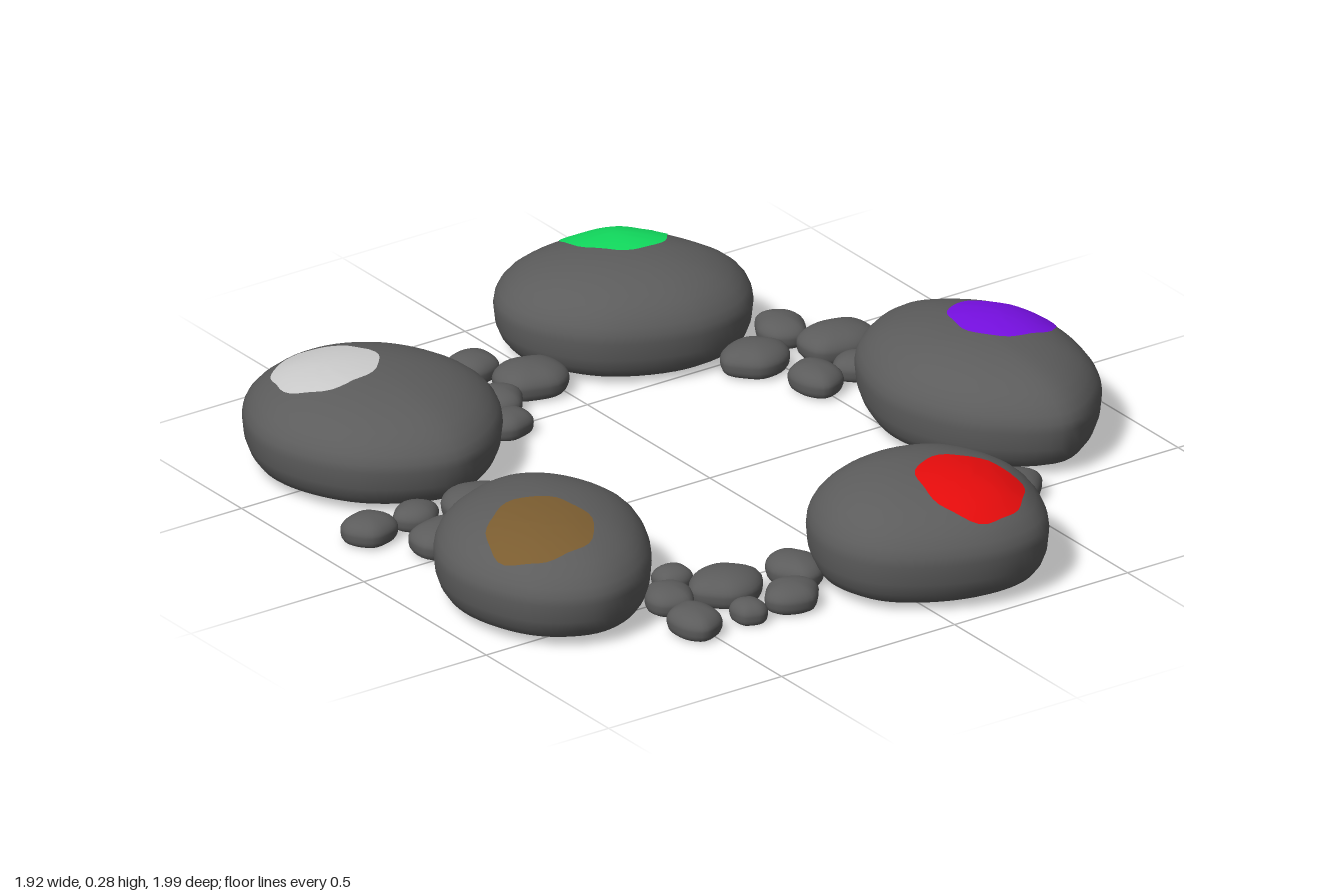
import * as THREE from 'three';

const STONE = new THREE.MeshStandardMaterial({ color: 0x5c5c5c, side: THREE.DoubleSide });

// Grid of rings (each a closed loop of n points) around one top point
function ringSurface(top, rings) {
  const n = rings[0].length;
  const pos = [...top, ...rings.flat(2)];
  const idx = [];
  for (let j = 0; j < n; j++) {
    const k = (j + 1) % n;
    idx.push(0, 1 + k, 1 + j);
    for (let i = 0; i < rings.length - 1; i++) {
      const a = 1 + i * n, b = a + n;
      idx.push(a + j, a + k, b + j, a + k, b + k, b + j);
    }
  }
  const g = new THREE.BufferGeometry();
  g.setAttribute('position', new THREE.Float32BufferAttribute(pos, 3));
  g.setIndex(idx);
  g.computeVertexNormals();
  return g;
}

// Hollow stone: dome, rounded flank, tucked-in underside with a four-sided opening
function makeStone(name, outline, apex, height, holeAngle, segments) {
  const [ax, az] = apex;
  const curve = new THREE.CatmullRomCurve3(outline.map(([x, z]) => new THREE.Vector3(x, 0, z)), true);
  const edge = curve.getPoints(segments).slice(0, segments);
  const waist = height * 0.46;
  const profile = [];
  for (const s of [0.15, 0.3, 0.45, 0.6, 0.72, 0.82, 0.9, 0.96, 0.99, 1]) {
    profile.push([s, waist + (height - waist) * Math.sqrt(1 - Math.pow(s, 2.2))]);
  }
  profile.push([0.985, height * 0.29], [0.95, height * 0.18], [0.9, height * 0.1], [0.8, height * 0.04], [0, 0]);
  const rings = profile.map(([s, y]) => edge.map((p) => {
    const dx = p.x - ax, dz = p.z - az;
    const t = Math.atan2(dz, dx) - holeAngle;
    const k = s || 0.5 / Math.max(Math.abs(Math.cos(t)), Math.abs(Math.sin(t)));
    return [ax + dx * k, y, az + dz * k];
  }));
  const mesh = new THREE.Mesh(ringSurface([ax, height, az], rings), STONE);
  mesh.name = name;
  return mesh;
}

// Coloured patch that hugs the dome of a stone
function makePatch(stone, [cx, cz], radius, color) {
  const ray = new THREE.Raycaster();
  const down = new THREE.Vector3(0, -1, 0);
  const onStone = (x, z) => {
    ray.set(new THREE.Vector3(x, 1, z), down);
    const hit = ray.intersectObject(stone)[0];
    return [x, (hit ? hit.point.y : 0.12) + 0.003, z];
  };
  const rings = [0.2, 0.4, 0.6, 0.8, 1].map((s) => Array.from({ length: 40 }, (_, j) => {
    const t = (j / 40) * Math.PI * 2;
    const r = s * radius * (1 + 0.04 * Math.sin(3 * t + cx * 9) + 0.025 * Math.sin(7 * t));
    return onStone(cx + r * Math.cos(t), cz + r * Math.sin(t));
  }));
  const mat = new THREE.MeshStandardMaterial({ color, side: THREE.DoubleSide });
  const mesh = new THREE.Mesh(ringSurface(onStone(cx, cz), rings), mat);
  mesh.name = 'colouredPatch';
  return mesh;
}

// Large stones: outline seen from above, summit, height and patch
const STONES = [
  { name: 'backStone', apex: [0.27, -0.71], height: 0.247, hole: 0, patch: [0.32, -0.835], color: 0x12e060,
    outline: [[0.29, -1], [0.41, -0.975], [0.54, -0.765], [0.56, -0.64], [0.465, -0.5],
      [0.3, -0.46], [0.08, -0.55], [-0.025, -0.71], [-0.02, -0.845], [0.08, -0.965]] },
  { name: 'backRightStone', apex: [-0.6, -0.54], height: 0.252, hole: 0.3, patch: [-0.68, -0.615], color: 0xcccccc,
    outline: [[-0.595, -0.84], [-0.42, -0.765], [-0.315, -0.605], [-0.305, -0.445], [-0.42, -0.27],
      [-0.595, -0.19], [-0.79, -0.28], [-0.89, -0.45], [-0.895, -0.605], [-0.79, -0.78]] },
  { name: 'leftStone', apex: [0.68, 0.15], height: 0.258, hole: 0.75, patch: [0.775, 0.095], color: 0x7a10e8,
    outline: [[0.705, -0.245], [0.85, -0.17], [0.94, -0.035], [0.955, 0.135], [0.89, 0.345],
      [0.705, 0.485], [0.54, 0.39], [0.445, 0.215], [0.435, 0.055], [0.53, -0.155]] },
  { name: 'frontStone', apex: [0.11, 0.67], height: 0.277, hole: 0.2, patch: [0.175, 0.82], color: 0xe80c0c,
    outline: [[0.11, 0.46], [0.32, 0.53], [0.405, 0.69], [0.39, 0.81], [0.295, 0.955],
      [0.16, 0.99], [0, 0.945], [-0.13, 0.84], [-0.165, 0.69], [-0.085, 0.52]] },
  { name: 'frontRightStone', apex: [-0.68, 0.3], height: 0.256, hole: 0.5, patch: [-0.78, 0.405], color: 0x7a5c30,
    outline: [[-0.63, 0.01], [-0.51, 0.08], [-0.435, 0.27], [-0.475, 0.425], [-0.605, 0.585],
      [-0.755, 0.63], [-0.895, 0.55], [-0.965, 0.36], [-0.935, 0.2], [-0.82, 0.065]] },
];

// Pebble clusters between the stones: x, z, half width, half depth
const CLUSTERS = {
  backRightPebbles: [[-0.26, -0.8, 0.05, 0.042], [-0.135, -0.78, 0.063, 0.063], [-0.295, -0.66, 0.085, 0.075],
    [-0.19, -0.59, 0.058, 0.063], [-0.065, -0.64, 0.095, 0.08], [-0.245, -0.475, 0.063, 0.052]],
  backLeftPebbles: [[0.435, -0.43, 0.085, 0.075], [0.58, -0.53, 0.063, 0.074], [0.645, -0.39, 0.1, 0.08],
    [0.49, -0.26, 0.063, 0.074], [0.61, -0.265, 0.058, 0.053], [0.77, -0.295, 0.042, 0.052]],
  frontLeftPebbles: [[0.435, 0.31, 0.068, 0.074], [0.37, 0.47, 0.085, 0.08], [0.52, 0.505, 0.074, 0.068],
    [0.215, 0.46, 0.058, 0.063], [0.435, 0.63, 0.066, 0.074]],
  frontRightPebbles: [[-0.165, 0.58, 0.063, 0.08], [-0.255, 0.695, 0.073, 0.063], [-0.383, 0.7, 0.042, 0.048],
    [-0.525, 0.68, 0.063, 0.074], [-0.357, 0.57, 0.09, 0.085], [-0.5, 0.54, 0.063, 0.063], [-0.425, 0.447, 0.048, 0.048]],
  rightPebbles: [[-0.855, -0.183, 0.072, 0.06], [-0.72, -0.183, 0.058, 0.053], [-0.57, -0.14, 0.095, 0.08],
    [-0.738, -0.035, 0.095, 0.074], [-0.57, 0.003, 0.074, 0.068]],
};

export function createModel() {
  const model = new THREE.Group();
  model.name = 'stoneRing';

  for (const s of STONES) {
    const group = new THREE.Group();
    group.name = s.name;
    const body = makeStone('stoneBody', s.outline, s.apex, s.height, s.hole, 64);
    group.add(body, makePatch(body, s.patch, 0.128, s.color));
    model.add(group);
  }

  let count = 0;
  for (const [name, pebbles] of Object.entries(CLUSTERS)) {
    const group = new THREE.Group();
    group.name = name;
    for (const [x, z, rx, rz] of pebbles) {
      // Rounded-square outline with a slight lopsided wobble
      const turn = ++count * 1.7;
      const outline = Array.from({ length: 10 }, (_, j) => {
        const t = (j / 10) * Math.PI * 2;
        const r = 0.99 + 0.05 * Math.cos(4 * t + turn) + 0.04 * Math.cos(2 * t + turn * 2);
        return [x + rx * r * Math.cos(t), z + rz * r * Math.sin(t)];
      });
      group.add(makeStone('pebble', outline, [x, z], 0.035 + 0.27 * (rx + rz), turn, 28));
    }
    // Sink the height range to match a low bed of gravel
    group.scale.y = 0.95;
    model.add(group);
  }
  return model;
}
